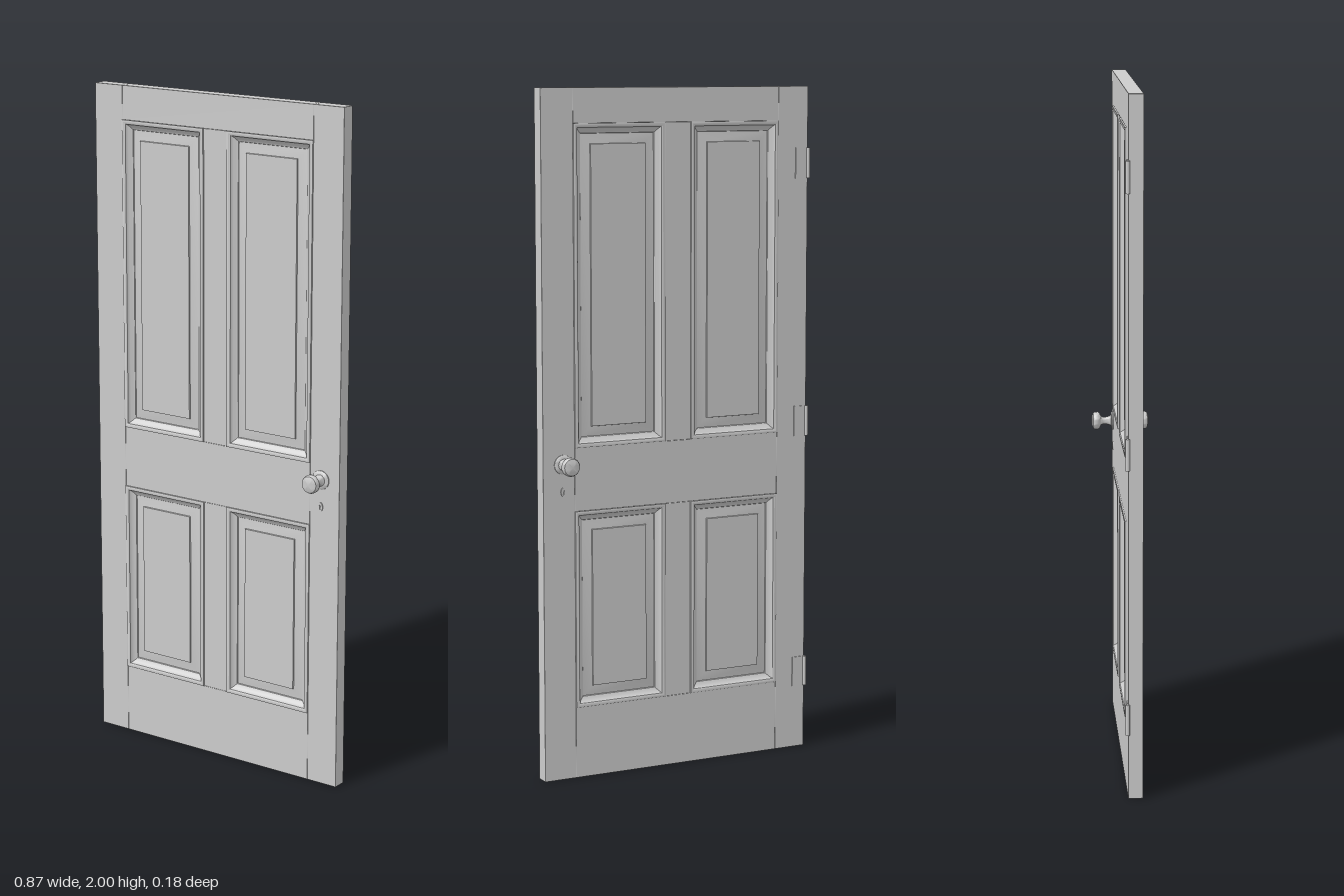
import * as THREE from 'three';
import { toCreasedNormals } from 'three/addons/utils/BufferGeometryUtils.js';
import { RoundedBoxGeometry } from 'three/addons/geometries/RoundedBoxGeometry.js';

const material = new THREE.MeshStandardMaterial({ color: 0xcccccc });
const HALF = 0.021; // half the door thickness

function add(parent, name, geometry, x = 0, y = 0, z = 0) {
  const mesh = new THREE.Mesh(geometry, material);
  mesh.name = name;
  mesh.position.set(x, y, z);
  parent.add(mesh);
  return mesh;
}

// Timber member given by its edges, with lightly eased corners
function timber(parent, name, x0, x1, y0, y1) {
  const geometry = new RoundedBoxGeometry(x1 - x0, y1 - y0, HALF * 2, 1, 0.001);
  add(parent, name, geometry, (x0 + x1) / 2, (y0 + y1) / 2);
}

// Sweep a profile of [inset, z] points around a w x h rectangle, facing +z
function rectangularSweep(w, h, profile, capped) {
  const rings = profile.map(([inset, z]) => {
    const a = w / 2 - inset, b = h / 2 - inset;
    return [[-a, -b, z], [a, -b, z], [a, b, z], [-a, b, z]];
  });
  const points = [];
  const quad = (a, b, c, d) => points.push(...a, ...b, ...c, ...a, ...c, ...d);
  for (let i = 0; i < rings.length - 1; i++) {
    for (let k = 0; k < 4; k++) {
      const n = (k + 1) % 4;
      quad(rings[i][k], rings[i][n], rings[i + 1][n], rings[i + 1][k]);
    }
  }
  if (capped) quad(...rings[rings.length - 1]);
  const geometry = new THREE.BufferGeometry();
  geometry.setAttribute('position', new THREE.Float32BufferAttribute(points, 3));
  geometry.computeVertexNormals();
  return toCreasedNormals(geometry, 0.6);
}

const mouldingProfile = [
  [0, 0.018], [0, 0.025], [0.003, 0.026], [0.008, 0.026], [0.012, 0.0235],
  [0.013, 0.02], [0.017, 0.015], [0.022, 0.011], [0.028, 0.008], [0.03, 0.004],
];
const panelProfile = [[0.028, 0.005], [0.058, 0.01], [0.059, 0.014]];

// Doorknob turned around z, from rose to rounded end
function knobGeometry() {
  const profile = [
    [0, 0], [0.028, 0], [0.028, 0.003], [0.025, 0.006], [0.017, 0.007],
    [0.013, 0.014], [0.011, 0.024], [0.011, 0.032], [0.014, 0.038],
    [0.023, 0.042], [0.027, 0.047], [0.027, 0.056], [0.024, 0.062],
    [0.013, 0.066], [0, 0.067],
  ].map(([r, y]) => new THREE.Vector2(r, y));
  return toCreasedNormals(new THREE.LatheGeometry(profile, 32).rotateX(Math.PI / 2), 0.7);
}

// Small escutcheon with a keyhole opening
function escutcheonGeometry() {
  const shape = new THREE.Shape();
  shape.absellipse(0, 0, 0.008, 0.013, 0, Math.PI * 2);
  const hole = new THREE.Path();
  hole.moveTo(-0.0015, -0.007);
  hole.lineTo(0.0015, -0.007);
  hole.lineTo(0.0015, 0.001);
  hole.absarc(0, 0.003, 0.003, -0.9, Math.PI + 0.9, false);
  hole.closePath();
  shape.holes.push(hole);
  return new THREE.ExtrudeGeometry(shape, { depth: 0.003, bevelEnabled: false, curveSegments: 16 });
}

export function createModel() {
  const door = new THREE.Group();
  door.name = 'panelDoor';
  const leaf = new THREE.Group();
  leaf.name = 'doorLeaf';
  leaf.position.set(0.002, 0, -0.001);
  door.add(leaf);

  // Framework of stiles, rails and muntins
  const outer = 0.434, inner = 0.334, mid = 0.042;
  timber(leaf, 'rightStile', -outer, -inner, 0, 2);
  timber(leaf, 'leftStile', inner, outer, 0, 2);
  timber(leaf, 'bottomRail', -inner, inner, 0, 0.21);
  timber(leaf, 'lockRail', -inner, inner, 0.79, 0.975);
  timber(leaf, 'topRail', -inner, inner, 1.9, 2);
  timber(leaf, 'lowerMuntin', -mid, mid, 0.21, 0.79);
  timber(leaf, 'upperMuntin', -mid, mid, 0.975, 1.9);

  // Four moulded, raised panels on both faces
  for (const [level, y0, y1] of [['lower', 0.21, 0.79], ['upper', 0.975, 1.9]]) {
    const w = inner - mid, h = y1 - y0;
    const moulding = rectangularSweep(w, h, mouldingProfile, false);
    const panel = rectangularSweep(w, h, panelProfile, true);
    for (const side of [-1, 1]) {
      for (const turn of [0, Math.PI]) {
        const group = new THREE.Group();
        group.name = level + (side < 0 ? 'Right' : 'Left') + (turn ? 'BackPanel' : 'FrontPanel');
        group.position.set(side * (inner + mid) / 2, (y0 + y1) / 2, 0);
        group.rotation.y = turn;
        add(group, 'moulding', moulding);
        add(group, 'raisedPanel', panel);
        leaf.add(group);
      }
    }
  }

  // Knob and keyhole plate on both faces
  const knob = knobGeometry(), escutcheon = escutcheonGeometry();
  for (const face of [1, -1]) {
    for (const [name, geometry, y] of [['knob', knob, 0.93], ['keyholePlate', escutcheon, 0.85]]) {
      const mesh = add(leaf, (face > 0 ? 'front ' : 'back ') + name, geometry, 0.371, y, face * HALF);
      mesh.rotation.y = face > 0 ? 0 : Math.PI;
    }
  }

  // Three butt hinges on the back of the right stile
  for (const y of [0.235, 1.005, 1.775]) {
    const hinge = new THREE.Group();
    hinge.name = 'hinge';
    hinge.position.set(-0.43, y, -0.024);
    add(hinge, 'hingeLeaf', new THREE.BoxGeometry(0.04, 0.09, 0.004), 0.02, 0, 0.001);
    add(hinge, 'hingeBarrel', new THREE.CylinderGeometry(0.006, 0.006, 0.09, 16), -0.002, 0, 0);
    door.add(hinge);
  }
  return door;
}
